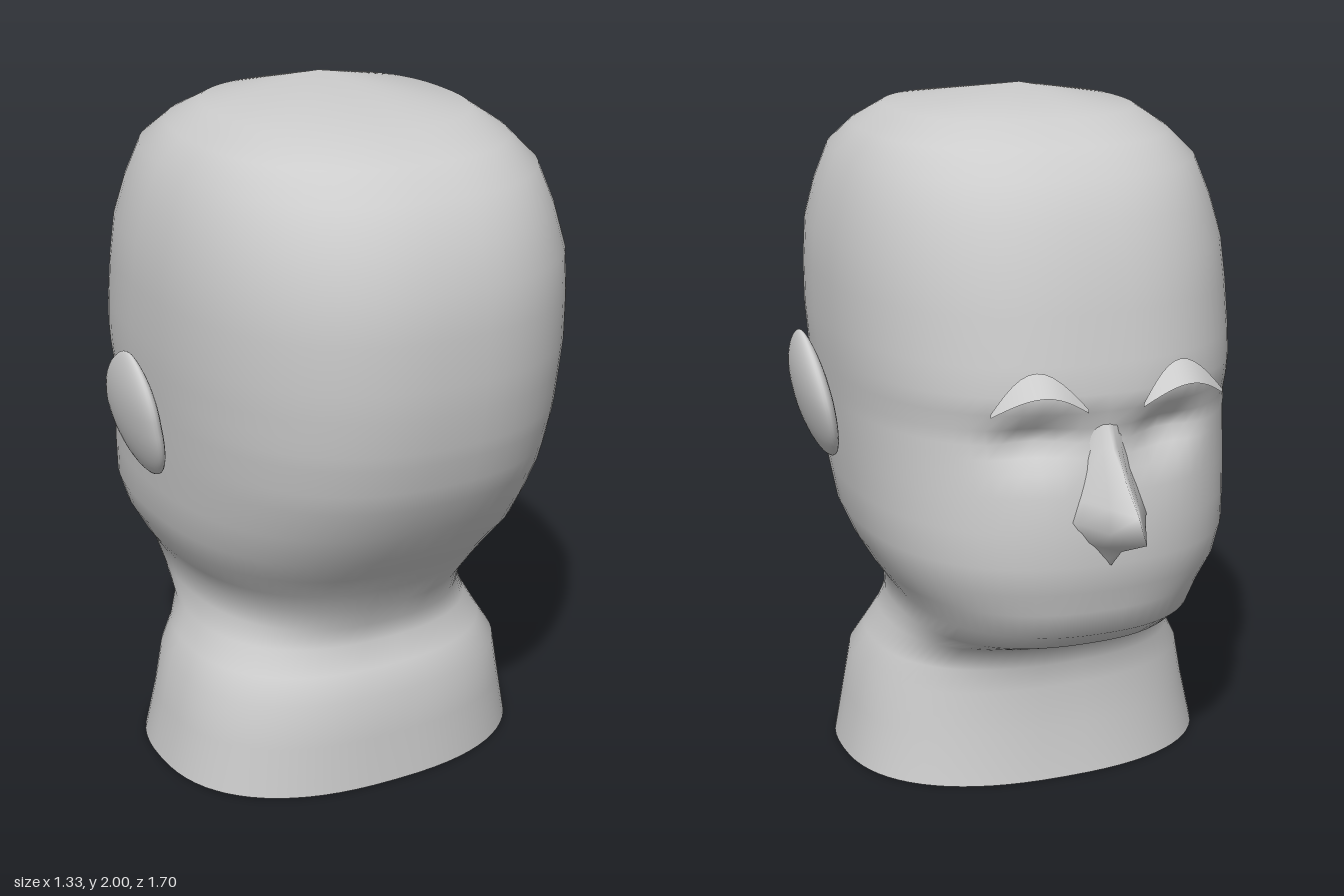
import * as THREE from 'three';

// Skin a grid of rows (lowest first) into a smooth surface; wrap closes each row.
function loft(rows, wrap, apex) {
  const n = rows[0].length, pos = rows.flat(2), index = [];
  for (let i = 0; i < rows.length - 1; i++) {
    for (let j = 0; j < (wrap ? n : n - 1); j++) {
      const k = (j + 1) % n, a = i * n + j, b = i * n + k;
      index.push(a, b, b + n, a, b + n, a + n);
    }
  }
  if (apex) {
    pos.push(...apex);
    const top = rows.length * n, base = top - n;
    for (let j = 0; j < n; j++) index.push(base + j, base + (j + 1) % n, top);
  }
  const g = new THREE.BufferGeometry();
  g.setAttribute('position', new THREE.Float32BufferAttribute(pos, 3));
  g.setIndex(index);
  g.computeVertexNormals();
  return g;
}

// Head and neck rings: [y, half width, back z, face z]
const RINGS = [
  [0, 0.555, 0.545, -0.32], [0.15, 0.525, 0.535, -0.295], [0.28, 0.50, 0.53, -0.29],
  [0.35, 0.46, 0.49, -0.29], [0.42, 0.425, 0.455, -0.32], [0.48, 0.41, 0.465, -0.47],
  [0.55, 0.418, 0.495, -0.575], [0.62, 0.465, 0.535, -0.58], [0.69, 0.505, 0.585, -0.61],
  [0.77, 0.535, 0.655, -0.62], [0.87, 0.545, 0.72, -0.62], [0.97, 0.553, 0.775, -0.61],
  [1.03, 0.558, 0.795, -0.60], [1.07, 0.561, 0.805, -0.595], [1.11, 0.564, 0.817, -0.59],
  [1.15, 0.567, 0.825, -0.585], [1.2, 0.571, 0.833, -0.60], [1.25, 0.574, 0.84, -0.605],
  [1.33, 0.578, 0.848, -0.59], [1.46, 0.576, 0.848, -0.565], [1.58, 0.567, 0.84, -0.54],
  [1.69, 0.54, 0.80, -0.495], [1.8, 0.50, 0.745, -0.44], [1.87, 0.435, 0.65, -0.345],
  [1.93, 0.35, 0.52, -0.22],
];

function headGeometry() {
  const SEG = 72, e = 2 / 2.4;
  const soft = v => Math.sign(v) * Math.abs(v) ** e;
  const rows = RINGS.map(([y, w, back, face]) => {
    const mid = (back + face) / 2, depth = (back - face) / 2;
    return Array.from({ length: SEG }, (_, j) => {
      const t = j / SEG * Math.PI * 2;
      const x = w * soft(Math.sin(t));
      let z = mid + depth * soft(Math.cos(t));
      // eye sockets pressed into the face
      if (z < 0) z += 0.07 * Math.exp(-(((Math.abs(x) - 0.19) / 0.1) ** 2) - ((y - 1.11) / 0.06) ** 2);
      return [x, y, z];
    });
  });
  return loft(rows, true, [0, 2, 0.06]);
}

// Pointed nose: [y, half width, ridge z]
function noseGeometry() {
  const rows = [
    [0.77, 0.03, -0.625], [0.83, 0.08, -0.69], [0.9, 0.115, -0.85],
    [0.96, 0.095, -0.80], [1.03, 0.07, -0.715], [1.1, 0.05, -0.63], [1.16, 0.04, -0.59],
  ].map(([y, w, ridge]) => [[1.15, 0], [0.85, 0.22], [0.45, 0.58], [0, 1], [-0.45, 0.58], [-0.85, 0.22], [-1.15, 0]]
    .map(([u, k]) => [u * w, y, -0.57 + (ridge + 0.57) * k]));
  return loft(rows, false);
}

// Arched brow ribbon standing off the forehead
function browGeometry(side) {
  const N = 12, rows = [[], []];
  for (let i = 0; i <= N; i++) {
    const u = i / N, arch = Math.sin(Math.PI * u);
    const x = side * (0.08 + 0.26 * u), z = -0.645 + 0.05 * u * u;
    rows[0].push([x, 1.215 + 0.055 * arch, z - 0.025 * arch]);
    rows[1].push([x, 1.225 + 0.1 * arch, z + 0.035 * arch]);
  }
  if (side > 0) rows.forEach(r => r.reverse());
  return loft(rows, false);
}

// Flattened ear with a pointed top, leaning outwards
function earGeometry() {
  const g = new THREE.SphereGeometry(1, 32, 24), p = g.attributes.position;
  for (let i = 0; i < p.count; i++) {
    const y = p.getY(i), taper = y > 0 ? 1 - 0.25 * y * y * y : 1;
    p.setXYZ(i, p.getX(i) * 0.042 * taper + 0.035 * y - 0.012 * y * y,
      y * 0.187, p.getZ(i) * 0.16 * taper + 0.025 * Math.max(y, 0));
  }
  g.computeVertexNormals();
  return g;
}

export function createModel() {
  const model = new THREE.Group();
  model.name = 'headBust';
  const clay = new THREE.MeshStandardMaterial({ color: 0xcccccc, side: THREE.DoubleSide });
  clay.name = 'grey clay';
  const add = (name, geometry) => {
    const mesh = new THREE.Mesh(geometry, clay);
    mesh.name = name;
    model.add(mesh);
    return mesh;
  };

  add('headAndNeck', headGeometry());
  add('nose', noseGeometry());
  for (const [side, label] of [[1, 'left'], [-1, 'right']]) {
    add(label + 'Brow', browGeometry(side));
    const ear = add(label + 'Ear', earGeometry());
    ear.position.set(side * 0.615, 1.122, 0.13);
    ear.scale.x = side;
  }
  return model;
}
